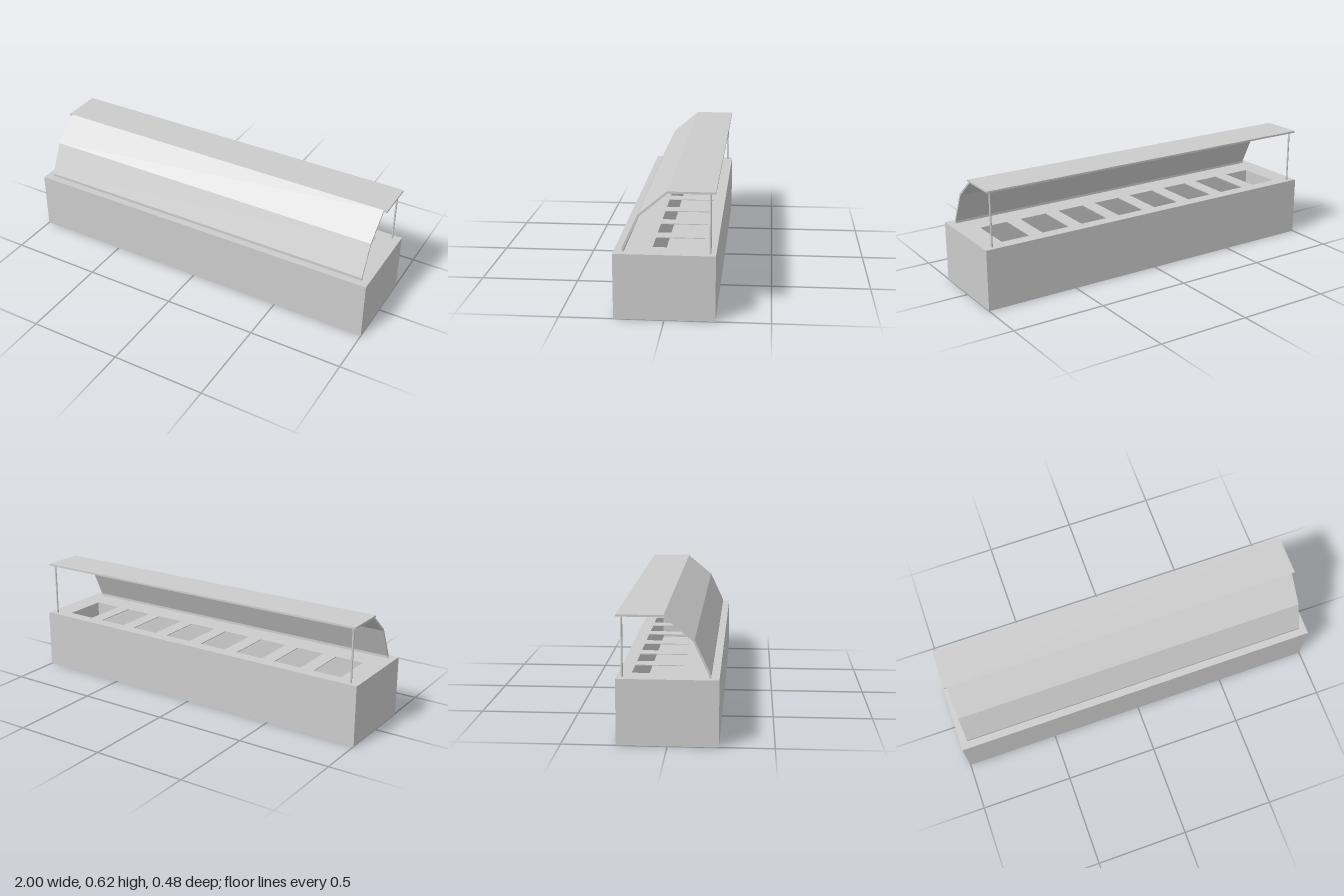
import * as THREE from 'three';

const grey = new THREE.MeshStandardMaterial({ color: 0xcccccc, flatShading: true, side: THREE.DoubleSide });

function add(group, name, geometry, x = 0, y = 0, z = 0) {
  const mesh = new THREE.Mesh(geometry, grey);
  mesh.name = name;
  mesh.position.set(x, y, z);
  group.add(mesh);
  return mesh;
}

// Rectangle on the ground plan, from x0..x1 and z0..z1
function planRect(x0, x1, z0, z1, Type = THREE.Shape) {
  return new Type([[x0, -z0], [x1, -z0], [x1, -z1], [x0, -z1]].map(p => new THREE.Vector2(...p)));
}

// Raise a ground plan with holes into a slab
function slab(shape, height) {
  return new THREE.ExtrudeGeometry(shape, { depth: height, bevelEnabled: false }).rotateX(-Math.PI / 2);
}

export function createModel() {
  const group = new THREE.Group();
  const top = 0.32, floor = 0.1, plate = 0.004;
  const wells = 8, wellHalf = 0.0775, firstWell = 0.805;
  const z0 = -0.175, z1 = 0.064, end = firstWell + wellHalf;

  // Counter: solid base, walls round one long trough, thin top with wells
  add(group, 'counterBase', new THREE.BoxGeometry(2, floor, 0.48), 0, floor / 2, 0);

  const walls = planRect(-1, 1, -0.24, 0.24);
  walls.holes.push(planRect(-end, end, z0, z1, THREE.Path));
  add(group, 'counterWalls', slab(walls, top - plate - floor), 0, floor, 0);

  const cover = planRect(-1, 1, -0.24, 0.24);
  for (let i = 0; i < wells; i++) {
    const x = -firstWell + (2 * firstWell * i) / (wells - 1);
    cover.holes.push(planRect(x - wellHalf, x + wellHalf, z0, z1, THREE.Path));
  }
  add(group, 'counterTop', slab(cover, plate), 0, top - plate, 0);

  // Bent guard panel: outer line up, inner line back down, as [z, y]
  const profile = [
    [0.201, top], [0.201, 0.336], [0.124, 0.5], [-0.017, 0.617],
    [-0.017, 0.604], [0.116, 0.493], [0.191, 0.333], [0.191, top],
  ];
  const guard = new THREE.Shape(profile.map(([z, y]) => new THREE.Vector2(-z, y)));
  const guardGeometry = new THREE.ExtrudeGeometry(guard, { depth: 1.92, bevelEnabled: false });
  add(group, 'guardPanel', guardGeometry.rotateY(Math.PI / 2), -0.96, 0, 0);

  // Flat shelf above, carried by two rear posts
  add(group, 'topShelf', new THREE.BoxGeometry(1.956, 0.01, 0.22), 0, 0.612, -0.127);
  for (const side of [-1, 1]) {
    add(group, side > 0 ? 'leftPost' : 'rightPost',
      new THREE.CylinderGeometry(0.005, 0.005, 0.287, 12), side * 0.956, top + 0.1435, -0.213);
  }
  return group;
}
